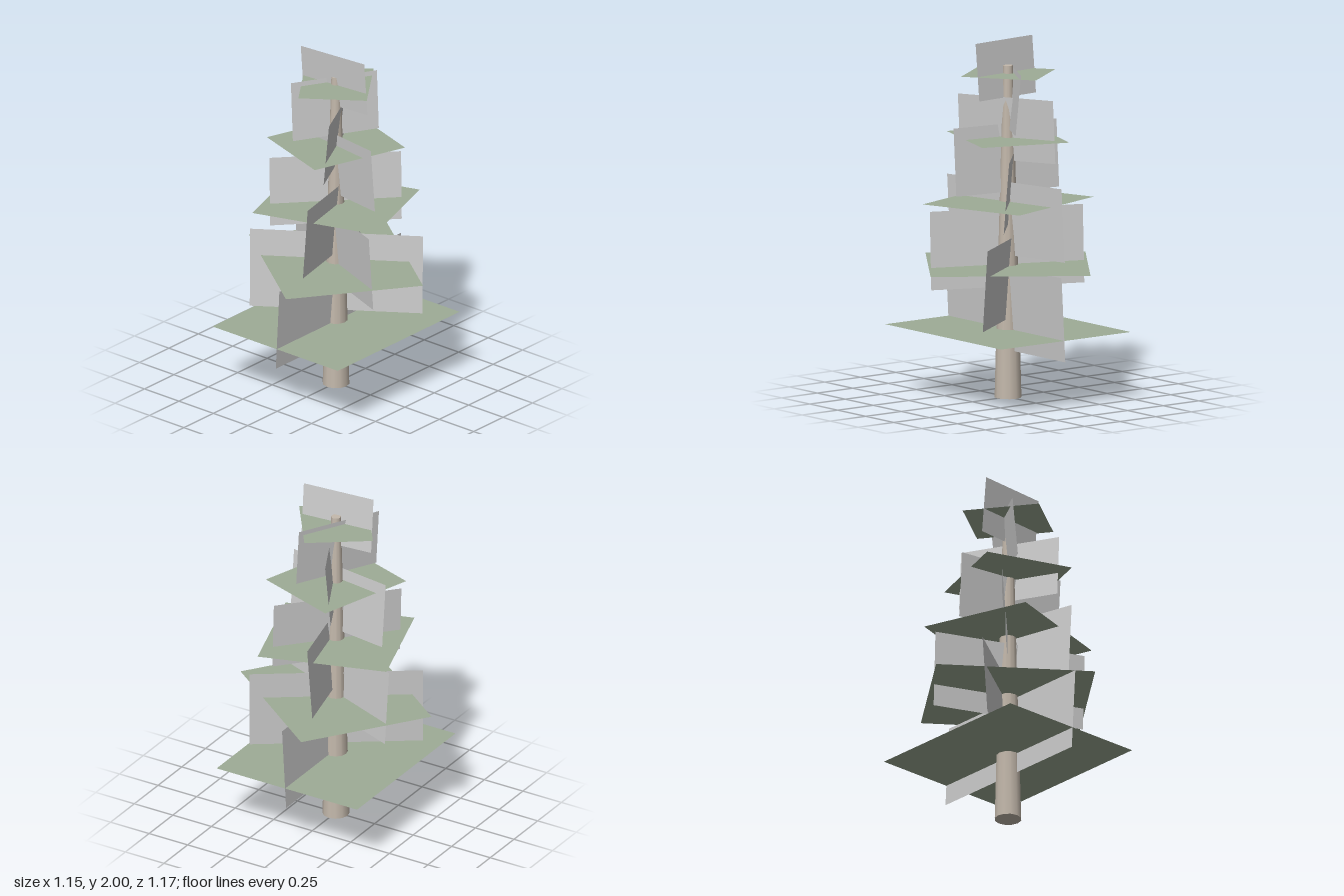
import * as THREE from 'three';

const material = (color) => new THREE.MeshStandardMaterial({ color, side: THREE.DoubleSide });

export function createModel() {
  const tree = new THREE.Group();
  tree.name = 'tree';
  const barkMaterial = material(0xc4b9ac);
  const needleMaterial = material(0x9eac96);
  const cardMaterial = material(0xcccccc);

  // Tapered trunk standing on the ground
  const trunkHeight = 1.86;
  const trunk = new THREE.Mesh(new THREE.CylinderGeometry(0.027, 0.075, trunkHeight, 12), barkMaterial);
  trunk.name = 'trunk';
  trunk.position.y = trunkHeight / 2;
  tree.add(trunk);

  // Level branch cards, each tier smaller and turned further round
  for (let i = 0; i < 5; i++) {
    const width = 1.035 - 0.151 * i;
    const geometry = new THREE.PlaneGeometry(width, width * 0.88).rotateX(-Math.PI / 2);
    const card = new THREE.Mesh(geometry, needleMaterial);
    card.name = `branchTier${i + 1}`;
    card.position.y = 0.386 + 0.3575 * i;
    card.rotation.y = 0.94 * i;
    tree.add(card);
  }

  // Upright branch cards spiralling up the trunk, leaning slightly outward
  for (let i = 0; i < 9; i++) {
    const geometry = new THREE.PlaneGeometry(1.035 - 0.0756 * i, 0.475 - 0.0193 * i)
      .rotateX(0.055 + 0.005 * i)
      .translate(0, 0, 0.018)
      .rotateY(2.171 * i);
    const card = new THREE.Mesh(geometry, cardMaterial);
    card.name = `uprightBranch${i + 1}`;
    card.position.y = 0.5025 + 0.1673 * i;
    tree.add(card);
  }

  return tree;
}
